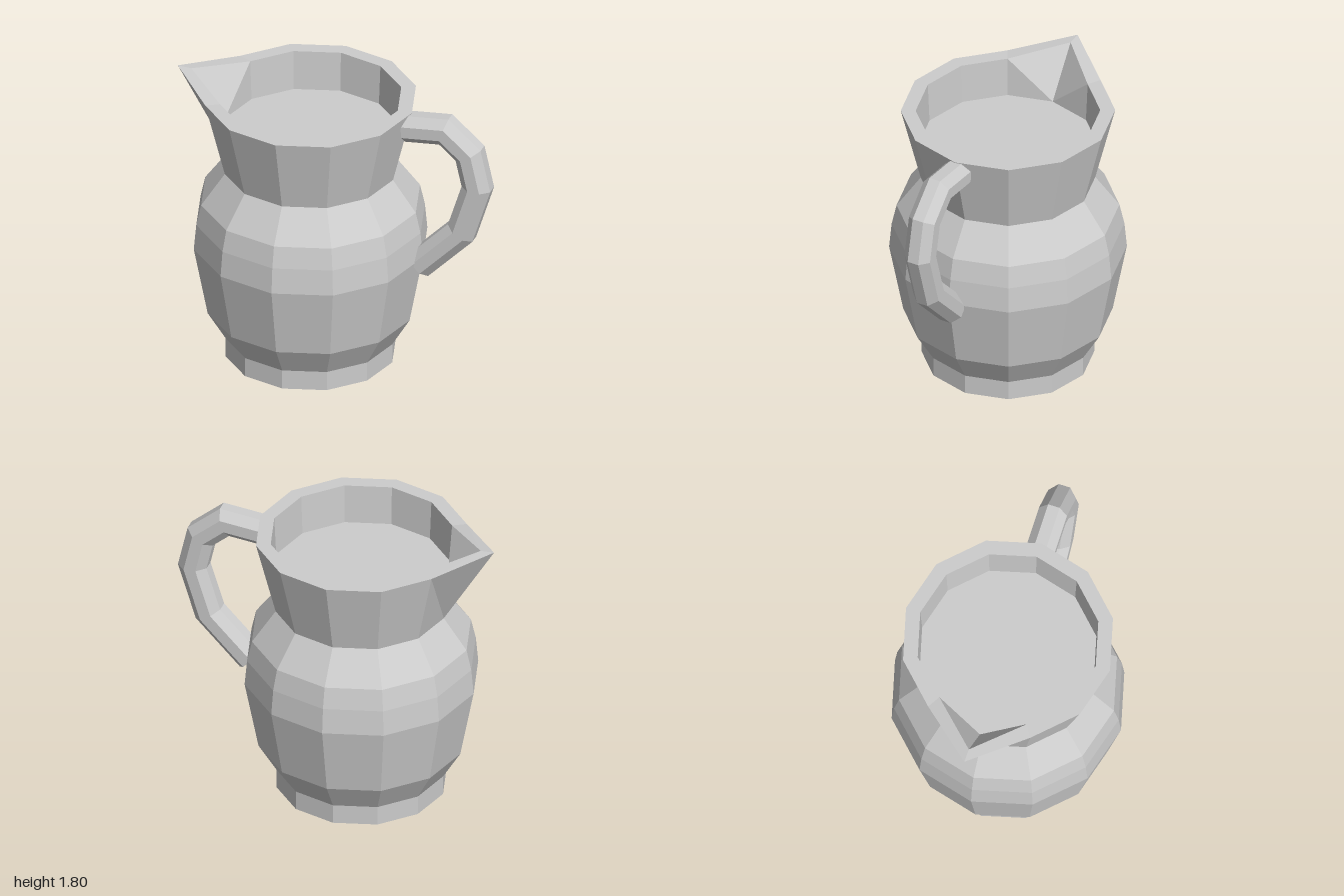
import * as THREE from 'three';

const SIDES = 12;
const CENTRE_X = -0.155;
const SPOUT = 6; // index of the ring corner that faces -x

const clay = new THREE.MeshStandardMaterial({ color: 0xcccccc });
clay.name = 'greyClay';

// Joins rings of points (counter-clockwise about the travel direction) into a faceted, capped skin.
// diagonal(ring, side) chooses which way each quad is split.
function loft(rings, diagonal = () => false) {
  const pos = [];
  const tri = (...pts) => pts.forEach((p) => pos.push(p.x, p.y, p.z));
  const n = rings[0].length;
  for (let k = 0; k < rings.length - 1; k++) {
    for (let i = 0; i < n; i++) {
      const j = (i + 1) % n;
      const a = rings[k][i], b = rings[k][j], c = rings[k + 1][j], d = rings[k + 1][i];
      if (diagonal(k, i)) {
        tri(a, b, d);
        tri(b, c, d);
      } else {
        tri(a, b, c);
        tri(a, c, d);
      }
    }
  }
  const first = rings[0], last = rings[rings.length - 1];
  for (let i = 1; i < n - 1; i++) {
    tri(first[0], first[i + 1], first[i]);
    tri(last[0], last[i], last[i + 1]);
  }
  const geo = new THREE.BufferGeometry();
  geo.setAttribute('position', new THREE.Float32BufferAttribute(pos, 3));
  geo.computeVertexNormals();
  return geo;
}

// Jug: foot, belly, neck, rim, then down the inside to the floor
function createBody() {
  const profile = [
    [0.52, 0], [0.52, 0.125], [0.63, 0.31], [0.715, 0.76], [0.7, 0.925],
    [0.67, 1.06], [0.525, 1.26], [0.645, 1.745], [0.555, 1.745], [0.543, 1.49],
  ];
  const rings = profile.map(([r, y]) => Array.from({ length: SIDES }, (_, i) => {
    const t = (i / SIDES) * Math.PI * 2;
    return new THREE.Vector3(CENTRE_X + r * Math.cos(t), y, -r * Math.sin(t));
  }));
  // Pull one rim corner outward and up into the pouring spout
  const rim = 7;
  rings[rim][SPOUT].set(-1, 1.798, 0);
  rings[rim + 1][SPOUT].set(-0.915, 1.793, 0);
  // Mirror the quad splits on both sides of the spout
  const mesh = new THREE.Mesh(loft(rings, (k, i) => (i < SPOUT) === (k < rim)), clay);
  mesh.name = 'jugBody';
  return mesh;
}

// Handle: octagonal bar swept along a bent path with mitred joints
function createHandle() {
  const path = [
    [0.45, 1.648], [0.705, 1.672], [0.86, 1.537], [0.91, 1.315], [0.81, 0.995], [0.543, 0.722],
  ].map(([x, y]) => new THREE.Vector2(x, y));
  const radius = 0.088 / Math.cos(Math.PI / 8);
  const normals = path.slice(1).map((p, i) => {
    const d = p.clone().sub(path[i]).normalize();
    return new THREE.Vector2(-d.y, d.x);
  });
  const rings = path.map((p, k) => {
    const before = normals[Math.max(k - 1, 0)];
    const after = normals[Math.min(k, normals.length - 1)];
    const n = before.clone().add(after).normalize();
    const mitre = 1 / n.dot(before);
    return Array.from({ length: 8 }, (_, i) => {
      const t = ((i + 0.5) / 8) * Math.PI * 2;
      const s = radius * Math.cos(t) * mitre;
      return new THREE.Vector3(p.x + n.x * s, p.y + n.y * s, radius * Math.sin(t));
    });
  });
  const mesh = new THREE.Mesh(loft(rings), clay);
  mesh.name = 'handle';
  return mesh;
}

export function createModel() {
  const group = new THREE.Group();
  group.name = 'pitcher';
  group.add(createBody(), createHandle());
  return group;
}
